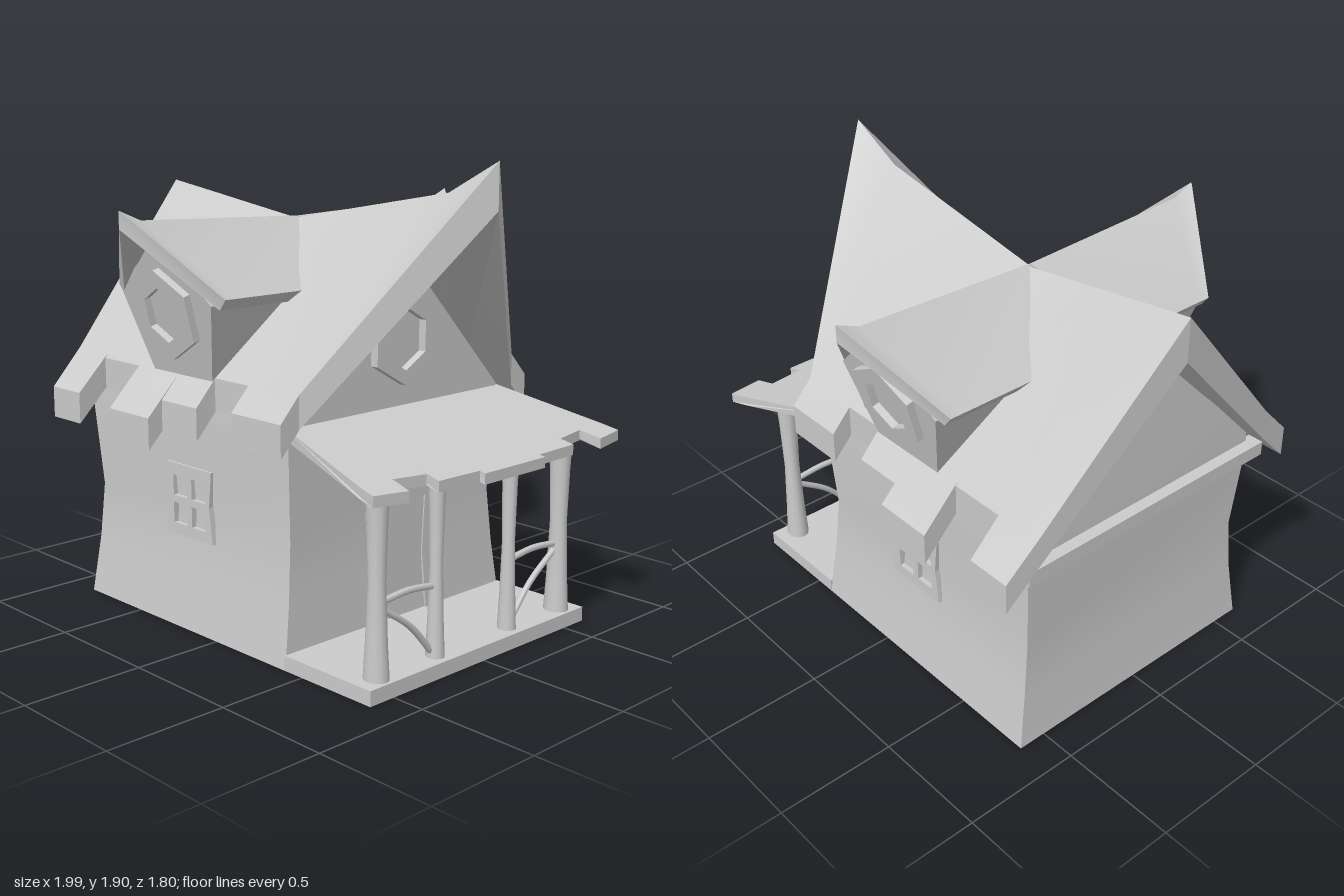
import * as THREE from 'three';
import { mergeGeometries, toCreasedNormals } from 'three/addons/utils/BufferGeometryUtils.js';

const mat = new THREE.MeshStandardMaterial({ color: 0xcccccc, side: THREE.DoubleSide });
const CX = -0.185; // x of the dormers and side windows

function add(parent, name, geometry) {
  const mesh = new THREE.Mesh(geometry, mat);
  mesh.name = name;
  parent.add(mesh);
  return mesh;
}

const crease = (geometry) => toCreasedNormals(geometry, 0.45);

// Solid through rings of equal point count, turned outward by its signed volume
function loft(rings, startCap = true) {
  const tris = [], n = rings[0].length, last = rings.length - 1;
  for (let r = 0; r < last; r++) {
    for (let i = 0; i < n; i++) {
      const j = (i + 1) % n, A = rings[r], B = rings[r + 1];
      tris.push([A[i], A[j], B[j]], [A[i], B[j], B[i]]);
    }
  }
  for (let i = 1; i < n - 1; i++) {
    if (startCap) tris.push([rings[0][0], rings[0][i + 1], rings[0][i]]);
    tris.push([rings[last][0], rings[last][i], rings[last][i + 1]]);
  }
  const v = (p) => new THREE.Vector3(...p);
  const volume = tris.reduce((sum, [a, b, c]) => sum + v(a).dot(v(b).cross(v(c))), 0);
  if (volume < 0) tris.forEach((t) => t.reverse());
  const g = new THREE.BufferGeometry();
  g.setAttribute('position', new THREE.Float32BufferAttribute(tris.flat(2), 3));
  return crease(g);
}

function extrude(points, holes, depth) {
  const toV = (list) => list.map(([x, y]) => new THREE.Vector2(x, y));
  const shape = new THREE.Shape(toV(points));
  holes.forEach((h) => shape.holes.push(new THREE.Path(toV(h))));
  return new THREE.ExtrudeGeometry(shape, { depth, bevelEnabled: false });
}

const hexagon = (r) => Array.from({ length: 6 }, (_, i) => {
  const a = Math.PI / 2 + i * Math.PI / 3;
  return [r * Math.cos(a), r * Math.sin(a)];
});

function box(parent, name, x0, x1, y0, y1, z0, z1) {
  const m = add(parent, name, new THREE.BoxGeometry(x1 - x0, y1 - y0, z1 - z0));
  m.position.set((x0 + x1) / 2, (y0 + y1) / 2, (z0 + z1) / 2);
  return m;
}

// Pinched walls rising into the gables, open below: y, left x, right x, half depth
function walls(root) {
  const levels = [
    [0, -0.845, 0.41, 0.62], [0.25, -0.825, 0.393, 0.585], [0.48, -0.815, 0.38, 0.565],
    [0.85, -0.84, 0.4, 0.59], [0.94, -0.84, 0.4, 0.585], [1.56, -0.82, 0.4, 0.001],
  ];
  const rings = levels.map(([y, a, b, z]) => [[a, y, z], [b, y, z], [b, y, -z], [a, y, -z]]);
  add(root, 'walls', loft(rings, false));
  box(root, 'gableBeam', -0.89, -0.82, 0.84, 0.9, -0.63, 0.63);
}

// Sagging main roof: one slab per column, each with its own eave tip
function mainRoof(root) {
  const ridge = [[-1, 1.75], [-0.75, 1.713], [-0.5, 1.675], [-0.2, 1.63], [0.1, 1.682], [0.64, 1.775], [0.88, 1.9]];
  const eaveX = [-0.915, -0.71, -0.47, -0.215, 0, 0.195, 0.47];
  const tips = [[0.75, 0.92], [0.615, 1.05], [0.768, 0.897], [0.7, 0.96], [0.606, 1.065], [0.69, 0.973]];
  const baseZ = 0.6, baseY = 1.07;
  const section = (i, [z, y], s) => {
    const [rx, ry] = ridge[i], x = eaveX[i], tipX = i === 0 ? -0.9 : x;
    return [[x, baseY, s * baseZ], [tipX, y, s * z], [tipX, y - 0.13, s * z],
      [x, baseY - 0.13, s * baseZ], [rx, ry - 0.18, 0], [rx, ry, 0]];
  };
  for (const s of [1, -1]) {
    const columns = tips.map((tip, i) => loft([section(i, tip, s), section(i + 1, tip, s)]));
    add(root, 'mainRoof', crease(mergeGeometries(columns)));
  }
}

function hexWindow(parent, inner) {
  return add(parent, 'hexagonWindow', extrude(hexagon(0.185), [hexagon(inner)], 0.055));
}

// Dormer with leaning pointed face, hexagon window and peaked roof
function dormer() {
  const g = new THREE.Group();
  g.name = 'dormer';
  const face = [[-0.18, 1.05], [0, 1.04], [0.18, 1.05], [0.275, 1.36], [0, 1.62], [-0.275, 1.36]];
  const lean = (y) => 0.615 + (y - 1.05) * 0.25;
  add(g, 'dormerWalls', loft([face.map(([x, y]) => [x, y, 0.15]), face.map(([x, y]) => [x, y, lean(y)])]));
  const win = hexWindow(g, 0.112);
  win.position.set(0, 1.31, 0.655);
  win.rotation.x = 0.245;
  for (const s of [1, -1]) {
    // back, middle and front rows, each from ridge to eave and back underneath
    const rows = [[0, 1.64, 0.28], [0.8, 1.668, 0.62], [0.9, 1.71, 0.67]];
    add(g, 'dormerRoof', loft(rows.map(([z, y, ez]) => [
      [0, y, z], [s * 0.332, 1.388, ez], [s * 0.298, 1.345, ez], [0, y - 0.07, z],
    ])));
  }
  return g;
}

// Pinched four-pane window frame
function paneWindow() {
  const g = new THREE.Group();
  g.name = 'paneWindow';
  const outline = [[-0.15, -0.15], [0.145, -0.15], [0.125, 0], [0.14, 0.145], [-0.145, 0.145], [-0.125, 0]];
  const panes = [[-0.1, -0.015], [0.015, 0.1]].flatMap(([a, b]) =>
    [[-0.105, -0.02], [0.01, 0.095]].map(([c, d]) => [[a, c], [b, c], [b, d], [a, d]]));
  add(g, 'windowFrame', extrude(outline, panes, 0.05)).position.set(-0.01, 0.53, 0.54);
  return g;
}

function door(root) {
  const g = new THREE.Group();
  g.name = 'door';
  root.add(g);
  box(g, 'doorPanel', 0.365, 0.4, 0.06, 0.55, -0.15, 0.14);
  for (const s of [1, -1]) {
    const z = (k) => s * k - 0.01;
    add(g, 'doorFrame', loft([[0.06, 0.185, 0.413], [0.3, 0.165, 0.406], [0.56, 0.18, 0.406]].map(([y, o, x]) => [
      [0.36, y, z(o)], [x, y, z(o)], [x, y, z(o - 0.04)], [0.36, y, z(o - 0.04)],
    ])));
  }
  box(g, 'lintel', 0.37, 0.435, 0.55, 0.605, -0.25, 0.17).rotation.x = 0.02;
}

// Porch: deck, pinched posts, curved braces and ragged sloping roof
function porch(root) {
  const g = new THREE.Group();
  g.name = 'porch';
  root.add(g);
  box(g, 'deck', 0.405, 0.86, 0, 0.06, -0.62, 0.62);

  const post = (z, r) => {
    const profile = [[1.2, 0.05], [1.0, 0.2], [0.8, 0.43], [0.95, 0.65], [1.15, 0.82]];
    const geo = new THREE.LatheGeometry(profile.map(([k, y]) => new THREE.Vector2(k * r, y)), 12);
    const mesh = add(g, 'post', geo);
    mesh.position.set(0.795, 0, z);
    mesh.scale.x = 1.15;
  };
  const tube = (name, pts) => {
    const curve = new THREE.CatmullRomCurve3(pts.map(([y, z]) => new THREE.Vector3(0.795, y, z)));
    add(g, name, new THREE.TubeGeometry(curve, 10, 0.013, 6));
  };
  for (const s of [1, -1]) {
    post(s * 0.525, 0.039);
    post(s * 0.21, 0.029);
    tube('rail', [[0.345, s * 0.51], [0.356, s * 0.36], [0.34, s * 0.21]]);
    tube('brace', [[0.325, s * 0.51], [0.215, s * 0.35], [0.07, s * 0.22]]);
  }

  const zs = [-0.69, -0.54, -0.38, -0.17, 0.17, 0.38, 0.54, 0.69];
  const ends = [[0.945, 0.97], [0.875, 0.9], [0.96, 0.965], [0.99, 0.99], [0.965, 0.96], [0.9, 0.875], [0.97, 0.945]];
  const topY = (x) => 0.93 - (x - 0.4) * 0.22;
  const section = (z, end) => {
    const top = [[0.38, z * 0.86], [0.865, z], [end, z * 1.015]].map(([x, pz]) => [x, topY(x), pz]);
    return [...top, ...top.map(([x, y, pz]) => [x, y - 0.042, pz]).reverse()];
  };
  const boards = ends.map(([a, b], i) => loft([section(zs[i], a), section(zs[i + 1], b)]));
  add(g, 'porchRoof', crease(mergeGeometries(boards)));
}

export function createModel() {
  const root = new THREE.Group();
  root.name = 'cottage';
  walls(root);
  mainRoof(root);
  // Front and back share the same dormer and window
  for (const turn of [0, Math.PI]) {
    const side = new THREE.Group();
    side.name = turn ? 'backSide' : 'frontSide';
    side.position.x = CX;
    side.rotation.y = turn;
    side.add(dormer(), paneWindow());
    root.add(side);
  }
  const gableWindow = hexWindow(root, 0.125);
  gableWindow.rotation.y = Math.PI / 2;
  gableWindow.position.set(0.38, 1.2, 0);
  door(root);
  porch(root);
  return root;
}
